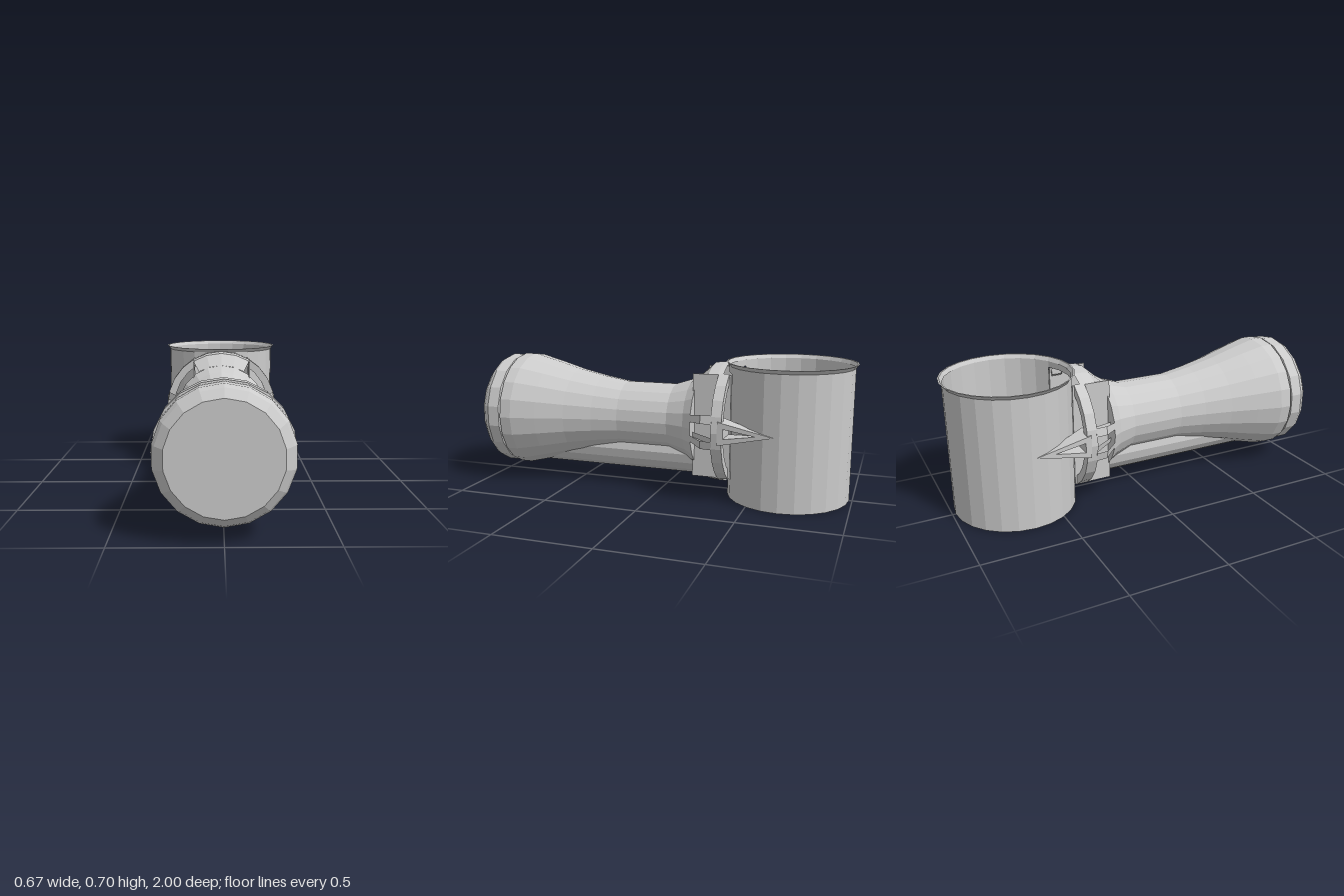
import * as THREE from 'three';

const AXIS_Y = 0.375, CUP_Z = -0.667, CUP_R = 0.317;
const rad = THREE.MathUtils.degToRad;
const mat = new THREE.MeshStandardMaterial({ color: 0xcccccc, flatShading: true, side: THREE.DoubleSide });

export function createModel() {
  const model = new THREE.Group();

  function add(parent, name, geometry, x = 0, y = 0, z = 0) {
    const mesh = new THREE.Mesh(geometry, mat);
    mesh.name = name;
    mesh.position.set(x, y, z);
    parent.add(mesh);
    return mesh;
  }
  // Lathe around the handle axis: points are [radius, z]; angle 0 is straight down
  function turned(parent, name, points, segments = 20, start = 0, sweep = 360) {
    const g = new THREE.LatheGeometry(points.map(p => new THREE.Vector2(...p)), segments, rad(start), rad(sweep));
    g.rotateX(Math.PI / 2);
    return add(parent, name, g, 0, AXIS_Y, 0);
  }

  // Cup: open top, with a port in the wall towards the handle
  const cup = new THREE.Group();
  cup.name = 'cup';
  cup.position.z = CUP_Z;
  model.add(cup);
  const wall = (name, y0, y1, start, sweep, segments) => add(cup, name,
    new THREE.CylinderGeometry(CUP_R, CUP_R, y1 - y0, segments, 1, true, rad(start), rad(sweep)), 0, (y0 + y1) / 2, 0);
  wall('cupWall', 0, 0.69, 30, 300, 20);
  wall('cupWallBelowPort', 0, 0.1, -30, 60, 4);
  wall('cupWallAbovePort', 0.65, 0.69, -30, 60, 4);
  add(cup, 'cupFloor', new THREE.CircleGeometry(CUP_R, 24).rotateX(Math.PI / 2));
  add(cup, 'cupLip', new THREE.LatheGeometry(
    [[0.313, 0.685], [0.317, 0.685], [0.333, 0.705], [0.325, 0.705], [0.313, 0.685]].map(p => new THREE.Vector2(...p)), 24));

  // Handle: flared body with a narrow waist
  const handle = new THREE.Group();
  handle.name = 'handle';
  model.add(handle);
  turned(handle, 'handleBody', [
    [0.185, -0.05], [0.185, 0.23], [0.208, 0.37], [0.24, 0.52],
    [0.282, 0.67], [0.315, 0.8], [0.315, 0.862], [0.29, 0.868]]);
  turned(handle, 'endCap', [
    [0.29, 0.868], [0.309, 0.876], [0.309, 0.94], [0.295, 0.965], [0.256, 1], [0, 1]], 18);

  // Rounded keel under the handle
  const keel = new THREE.CylinderGeometry(1, 1, 1.04, 16);
  keel.rotateX(Math.PI / 2).scale(0.135, 0.125, 1);
  add(handle, 'keel', keel, 0, 0.205, 0.23);

  // Collar: flare behind the waist, pierced on both sides
  const collar = new THREE.Group();
  collar.name = 'collar';
  model.add(collar);
  turned(collar, 'flare', [[0.25, -0.2], [0.218, -0.15], [0.185, -0.05]]);
  turned(collar, 'pocketFront', [[0.16, -0.2], [0.25, -0.2]]);

  const skin = [[0.317, -0.35], [0.317, -0.32], [0.312, -0.27], [0.25, -0.2]];
  for (const middle of [0, 180]) {
    turned(collar, middle ? 'collarTop' : 'collarBottom', skin, 4, middle - 31, 62);
  }

  for (const side of [1, -1]) {
    const middle = side * 90;
    // Half ring standing behind the pockets
    turned(collar, 'collarRing', [
      [0.275, -0.325], [0.275, -0.38], [0.317, -0.38], [0.317, -0.325], [0.275, -0.325]], 8, middle - 60, 120);
    // Narrow struts bridging the flare and ring
    for (const offset of [-16, 8]) {
      turned(collar, 'collarStrut', [
        [0.2, -0.2], [0.275, -0.33], [0.317, -0.33], [0.312, -0.27], [0.25, -0.2]], 1, middle + offset, 8);
    }
    // Flat wall between the pocket and the inner passage
    add(collar, 'passageWall', new THREE.BoxGeometry(0.008, 0.54, 0.2), side * 0.158, AXIS_Y, -0.29);
  }

  // Pointed side brackets, hollow, with the inner side following the cup
  const bracketShape = new THREE.Shape([[-0.36, 0.06], [-0.64, 0], [-0.36, -0.06]].map(p => new THREE.Vector2(...p)));
  bracketShape.holes.push(new THREE.Path([[-0.39, 0.025], [-0.39, -0.025], [-0.55, 0]].map(p => new THREE.Vector2(...p))));
  for (const side of [1, -1]) {
    const g = new THREE.ExtrudeGeometry(bracketShape, { depth: 1, bevelEnabled: false });
    const pos = g.attributes.position;
    for (let i = 0; i < pos.count; i++) {
      const z = pos.getX(i), outer = pos.getZ(i) > 0.5;
      const onCup = Math.sqrt(Math.max(0, CUP_R ** 2 - (z - CUP_Z) ** 2));
      const x = outer ? 0.317 : Math.min(0.312, Math.max(0.2, onCup));
      pos.setXYZ(i, side * x, pos.getY(i), z);
    }
    // Reverse the corner order where the mapping turns the faces inside out
    if (side > 0) {
      for (let i = 0; i < pos.count; i += 3) {
        const a = new THREE.Vector3().fromBufferAttribute(pos, i + 1);
        const b = new THREE.Vector3().fromBufferAttribute(pos, i + 2);
        pos.setXYZ(i + 1, b.x, b.y, b.z);
        pos.setXYZ(i + 2, a.x, a.y, a.z);
      }
    }
    g.computeVertexNormals();
    add(model, side > 0 ? 'leftBracket' : 'rightBracket', g, 0, AXIS_Y, 0);
  }

  return model;
}
